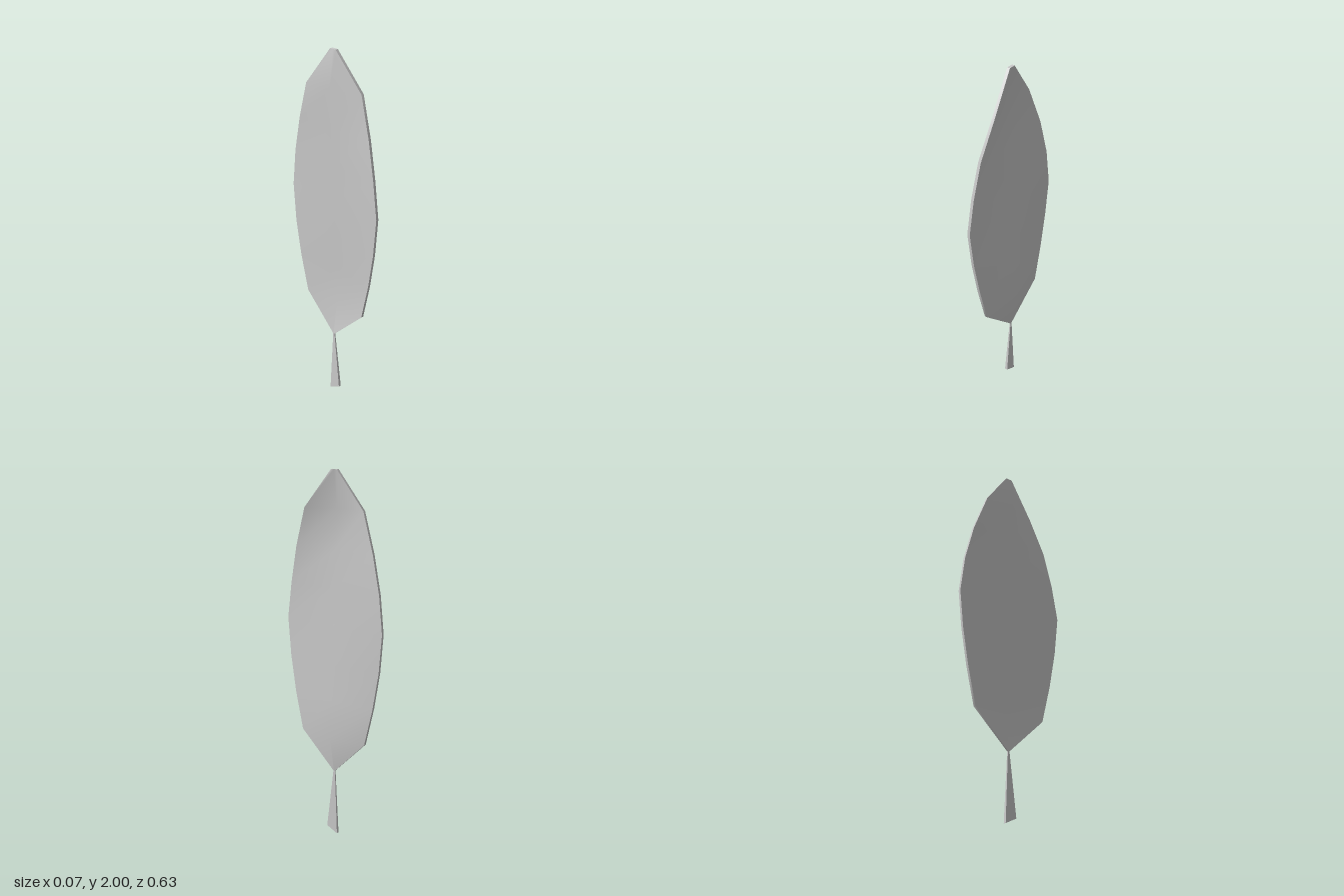
import * as THREE from 'three';
import { mergeGeometries } from 'three/addons/utils/BufferGeometryUtils.js';

// One smooth patch from a grid of points: rows go up, columns go right, facing the viewer
function patch(rows) {
  const w = rows[0].length, index = [];
  for (let j = 0; j < rows.length - 1; j++) {
    for (let i = 0; i < w - 1; i++) {
      const a = j * w + i, b = a + 1, c = b + w, d = a + w;
      index.push(a, b, c, a, c, d);
    }
  }
  const g = new THREE.BufferGeometry();
  g.setAttribute('position', new THREE.Float32BufferAttribute(rows.flat(2), 3));
  g.setIndex(index);
  g.computeVertexNormals();
  return g;
}

// Closed thin sheet. Each section holds its +z edge, middle and -z edge points and a half thickness
function thinSheet(sections) {
  const side = (s) => sections.map(({ points, t }) => points.map(([x, y, z]) => [x + s * t, y, z]));
  const right = side(-1), left = side(1), n = sections.length - 1;
  const rim = (a, b, i) => a.map((row, j) => [row[i], b[j][i]]);
  const cap = (a, b, j) => a[j].map((p, i) => [p, b[j][i]]);
  return mergeGeometries([
    patch(left),
    patch(right.map((row) => [...row].reverse())),
    patch(rim(right, left, 0)),
    patch(rim(left, right, 2)),
    patch(cap(right, left, n)),
    patch(cap(left, right, 0)),
  ]);
}

export function createModel() {
  const group = new THREE.Group();
  const material = new THREE.MeshStandardMaterial({ color: 0xcccccc });
  const add = (name, sections) => {
    const mesh = new THREE.Mesh(thinSheet(sections), material);
    mesh.name = name;
    group.add(mesh);
  };

  // Blade: y, z of both edges, then sideways wave of +z edge, middle, -z edge, half thickness
  const blade = [
    [0.37, 0.001, -0.009, 0, 0, 0, 0.003],
    [0.57, 0.21, -0.21, -0.008, 0.027, 0.012, 0.008],
    [0.78, 0.26, -0.26, -0.014, 0.018, 0.012, 0.008],
    [0.98, 0.295, -0.295, -0.02, 0.009, 0.013, 0.008],
    [1.19, 0.316, -0.315, -0.025, 0, 0.017, 0.008],
    [1.39, 0.285, -0.292, -0.018, -0.009, 0.013, 0.008],
    [1.59, 0.24, -0.245, -0.005, -0.018, 0.002, 0.008],
    [1.8, 0.165, -0.172, 0.022, -0.028, -0.019, 0.008],
    [2.0, 0.013, -0.024, 0, 0, 0, 0.008],
  ];
  add('leafBlade', blade.map(([y, zp, zm, xp, xm, xn, t]) => ({
    points: [[xp, y, zp], [xm, y, (zp + zm) / 2], [xn, y, zm]], t,
  })));

  // Stem: flat, widening to a slanted cut at the foot
  add('stem', [
    { points: [[0, 0.032, 0.04], [0, 0.016, 0.007], [0, 0, -0.026]], t: 0.008 },
    { points: [[0, 0.37, 0.001], [0, 0.37, -0.004], [0, 0.37, -0.009]], t: 0.003 },
  ]);
  return group;
}
